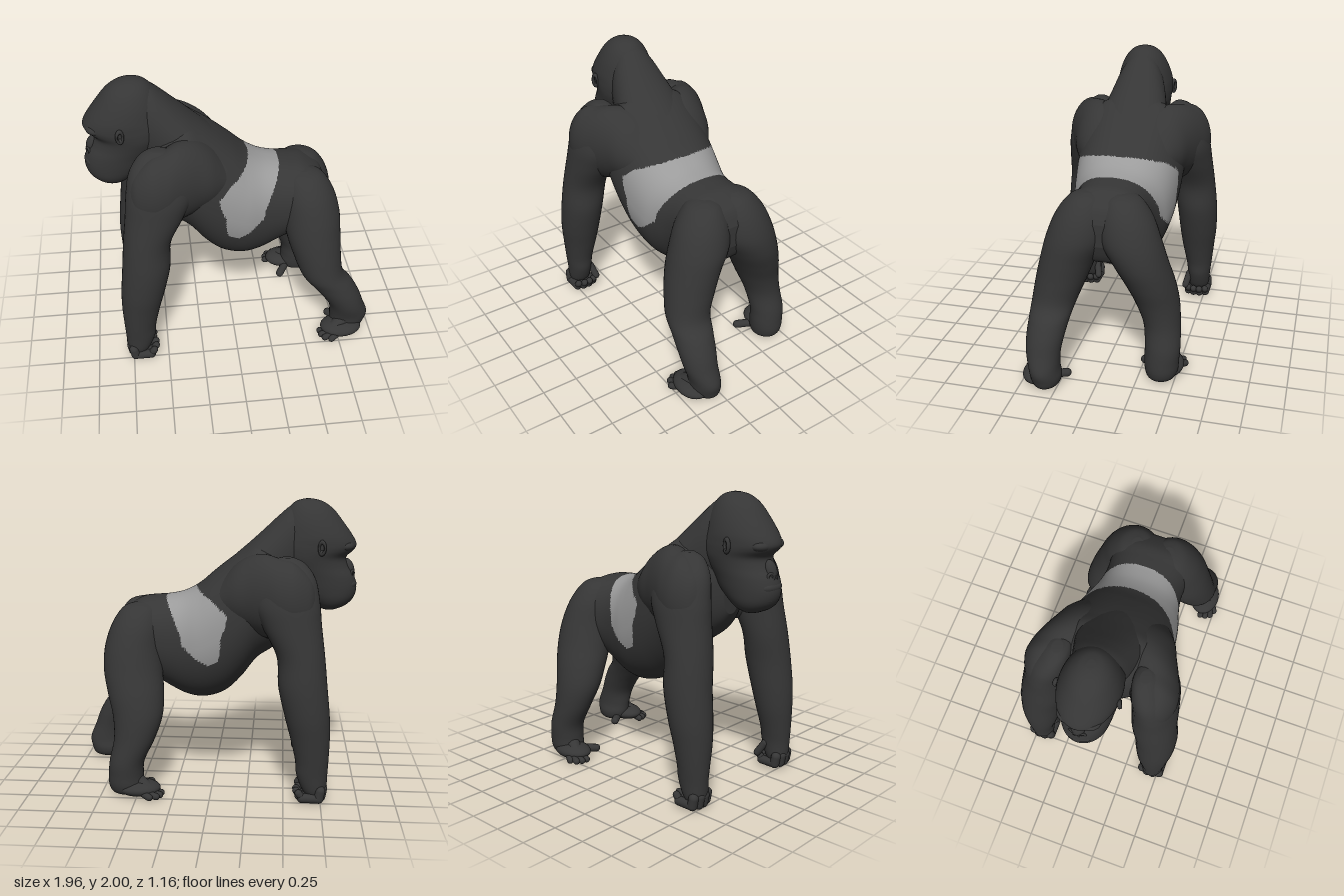
import * as THREE from 'three';

const fur = new THREE.MeshStandardMaterial({ color: 0x363636 });
fur.name = 'dark fur';
const silver = new THREE.MeshStandardMaterial({ color: 0x9b9b9b });
silver.name = 'silver fur';

// Smooth interpolation through rows of numbers, t in 0..1
function sample(rows, t) {
  const f = t * (rows.length - 1), i = Math.min(Math.floor(f), rows.length - 2), u = f - i;
  const p0 = rows[Math.max(i - 1, 0)], p1 = rows[i], p2 = rows[i + 1], p3 = rows[Math.min(i + 2, rows.length - 1)];
  return p1.map((v, k) => v + 0.5 * u * (p2[k] - p0[k]
    + u * (2 * p0[k] - 5 * v + 4 * p2[k] - p3[k] + u * (3 * (v - p2[k]) + p3[k] - p0[k]))));
}

// Skin over oval sections. Axis x (ascending): [x, y0, y1, z0, z1]; axis y (descending): [y, x0, x1, z0, z1].
// Faces for which isSilver(x, y) holds go to a second material group.
function loft(name, axis, rows, { along = 56, around = 40, square = 1, isSilver = null } = {}) {
  const pos = [], parts = [[], []];
  const put = (s, a, b) => (axis === 'x' ? pos.push(s, a, b) : pos.push(a, s, b));
  const shape = (v) => Math.sign(v) * Math.abs(v) ** square;
  for (let i = 0; i <= along; i++) {
    const [s, a0, a1, b0, b1] = sample(rows, i / along);
    for (let j = 0; j < around; j++) {
      const t = (j / around) * Math.PI * 2, c = Math.cos(t);
      const a = c > 0 ? shape(c) : c;
      put(s, (a0 + a1) / 2 + a * (a1 - a0) / 2, (b0 + b1) / 2 + shape(Math.sin(t)) * (b1 - b0) / 2);
    }
  }
  const first = rows[0], last = rows[rows.length - 1];
  for (const r of [first, last]) put(r[0], (r[1] + r[2]) / 2, (r[3] + r[4]) / 2);
  const tri = (...v) => {
    const mid = (k) => (pos[v[0] * 3 + k] + pos[v[1] * 3 + k] + pos[v[2] * 3 + k]) / 3;
    parts[isSilver && isSilver(mid(0), mid(1)) ? 1 : 0].push(...v);
  };
  const pole = (along + 1) * around;
  for (let j = 0; j < around; j++) {
    const k = (j + 1) % around, end = along * around;
    for (let i = 0; i < along; i++) {
      const a = i * around + j, b = i * around + k;
      tri(a, b, a + around);
      tri(b, b + around, a + around);
    }
    tri(pole, k, j);
    tri(pole + 1, end + j, end + k);
  }
  const g = new THREE.BufferGeometry();
  g.setAttribute('position', new THREE.Float32BufferAttribute(pos, 3));
  g.setIndex(parts[0].concat(parts[1]));
  g.addGroup(0, parts[0].length, 0);
  g.addGroup(parts[0].length, parts[1].length, 1);
  g.computeVertexNormals();
  const mesh = new THREE.Mesh(g, isSilver ? [fur, silver] : fur);
  mesh.name = name;
  return mesh;
}

// Rounded rod between two points, for fingers and toes
function rod(name, a, b, r) {
  const p = new THREE.Vector3(...a), q = new THREE.Vector3(...b), d = q.clone().sub(p);
  const mesh = new THREE.Mesh(new THREE.CapsuleGeometry(r, d.length(), 6, 14), fur);
  mesh.position.copy(p).add(q).multiplyScalar(0.5);
  mesh.quaternion.setFromUnitVectors(new THREE.Vector3(0, 1, 0), d.normalize());
  mesh.name = name;
  return mesh;
}

function blob(name, c, r, tilt = 0) {
  const mesh = new THREE.Mesh(new THREE.SphereGeometry(1, 28, 20), fur);
  mesh.position.set(...c);
  mesh.scale.set(...r);
  mesh.rotation.z = tilt;
  mesh.name = name;
  return mesh;
}

// Sections symmetric about z = 0, and sections moved to side s
const even = (rows) => rows.map(([s, a0, a1, w]) => [s, a0, a1, -w, w]);
const side = (rows, s) => rows.map(([y, a, b, z0, z1]) => (s > 0 ? [y, a, b, z0, z1] : [y, a, b, -z1, -z0]));

// Saddle patch: [y, limit towards the head, limit towards the hips]
const saddle = [[0.9, 0.02, 0.02], [0.94, -0.05, 0.1], [1.03, -0.065, 0.2], [1.1, -0.065, 0.215],
  [1.18, -0.1, 0.25], [1.25, -0.11, 0.285], [1.33, -0.02, 0.33], [1.41, 0.13, 0.36]];
function inSaddle(x, y) {
  const i = saddle.findIndex((r) => r[0] > y);
  if (i < 1) return false;
  const [p, q] = [saddle[i - 1], saddle[i]], u = (y - p[0]) / (q[0] - p[0]);
  return x > p[1] + u * (q[1] - p[1]) && x < p[2] + u * (q[2] - p[2]);
}

function makeHead() {
  const head = new THREE.Group();
  head.name = 'head';
  head.add(loft('skull', 'y', even([
    [2.0, -0.67, -0.61, 0.025], [1.98, -0.74, -0.55, 0.08], [1.93, -0.81, -0.5, 0.13], [1.85, -0.875, -0.46, 0.17],
    [1.76, -0.94, -0.43, 0.195], [1.7, -0.97, -0.4, 0.2], [1.66, -0.955, -0.4, 0.2], [1.61, -0.905, -0.42, 0.195],
    [1.55, -0.92, -0.45, 0.185], [1.48, -0.962, -0.5, 0.175], [1.4, -0.98, -0.55, 0.165], [1.33, -0.962, -0.62, 0.15],
    [1.28, -0.915, -0.68, 0.12], [1.25, -0.85, -0.74, 0.07]]), { along: 80, around: 56 }));
  head.add(blob('nose', [-0.92, 1.53, 0], [0.04, 0.07, 0.045], -0.3));
  head.add(blob('upperLip', [-0.92, 1.425, 0], [0.06, 0.045, 0.1]));
  head.add(blob('lowerLip', [-0.917, 1.35, 0], [0.052, 0.034, 0.09]));
  for (const s of [1, -1]) {
    head.add(blob('brow', [-0.882, 1.69, s * 0.06], [0.07, 0.042, 0.085]));
    head.add(blob('eye', [-0.875, 1.625, s * 0.07], [0.016, 0.014, 0.02]));
    const nostril = new THREE.Mesh(new THREE.TorusGeometry(0.022, 0.009, 10, 20), fur);
    nostril.position.set(-0.948, 1.495, s * 0.032);
    nostril.rotation.y = Math.PI / 2 + s * 0.4;
    nostril.name = 'nostril';
    const rim = new THREE.Mesh(new THREE.TorusGeometry(0.028, 0.011, 10, 24), fur);
    rim.position.set(-0.73, 1.69, s * 0.205);
    rim.scale.set(0.75, 1.4, 1.3);
    rim.rotation.y = s * 0.35;
    rim.name = 'earRim';
    head.add(nostril, rim, blob('earLobe', [-0.727, 1.655, s * 0.202], [0.018, 0.02, 0.016]));
  }
  return head;
}

const shoulderRows = [[-0.7, 1.22, 1.42, 0.33, 0.42], [-0.65, 1.12, 1.52, 0.27, 0.485], [-0.55, 1.08, 1.61, 0.2, 0.525],
  [-0.45, 1.08, 1.635, 0.12, 0.515], [-0.35, 1.1, 1.655, 0.06, 0.472], [-0.25, 1.12, 1.635, 0.02, 0.425],
  [-0.15, 1.15, 1.57, 0, 0.382], [-0.05, 1.2, 1.46, 0, 0.31]];

const armRows = [[1.64, -0.54, -0.46, 0.26, 0.33], [1.6, -0.62, -0.36, 0.22, 0.39], [1.5, -0.69, -0.3, 0.21, 0.47],
  [1.35, -0.72, -0.28, 0.22, 0.52], [1.2, -0.735, -0.34, 0.23, 0.54], [1.0, -0.76, -0.44, 0.25, 0.56],
  [0.8, -0.78, -0.455, 0.28, 0.58], [0.6, -0.8, -0.5, 0.3, 0.58], [0.45, -0.805, -0.54, 0.32, 0.565],
  [0.3, -0.8, -0.575, 0.35, 0.55], [0.2, -0.795, -0.585, 0.365, 0.54], [0.1, -0.79, -0.62, 0.37, 0.53],
  [0.04, -0.77, -0.66, 0.39, 0.51]];

function makeArm(s) {
  const arm = new THREE.Group();
  arm.name = s > 0 ? 'nearArm' : 'farArm';
  arm.add(loft('shoulder', 'x', side(shoulderRows, s)));
  arm.add(loft('armAndFist', 'y', side(armRows, s), { along: 72 }));
  for (let i = 0; i < 4; i++) {
    const z = s * (0.383 + i * 0.044), x = i % 3 ? 0 : 0.015;
    arm.add(rod('knuckle', [-0.762 + x, 0.1, z], [-0.752 + x, 0.045, z], 0.034));
    arm.add(rod('finger', [-0.75 + x, 0.045, z], [-0.61 - x, 0.045, z], 0.032));
    arm.add(rod('fingertip', [-0.61 - x, 0.05, z], [-0.587 - x, 0.08, z], 0.025));
  }
  arm.add(rod('thumb', [-0.65, 0.18, s * 0.38], [-0.6, 0.1, s * 0.36], 0.026));
  return arm;
}

// Both legs share the hip sections; the near one steps back, the far one forward
const hipRows = [[1.295, 0.45, 0.54, 0.08, 0.15], [1.26, 0.38, 0.625, 0.01, 0.24], [1.15, 0.35, 0.7, -0.03, 0.325],
  [1.0, 0.35, 0.745, -0.02, 0.385]];
const legRows = {
  back: [[0.85, 0.37, 0.752, 0.05, 0.425], [0.7, 0.415, 0.757, 0.11, 0.455], [0.55, 0.475, 0.775, 0.17, 0.475],
    [0.45, 0.55, 0.85, 0.2, 0.475], [0.35, 0.63, 0.905, 0.22, 0.475], [0.25, 0.69, 0.942, 0.235, 0.465],
    [0.15, 0.705, 0.98, 0.235, 0.44], [0.08, 0.71, 0.97, 0.225, 0.43], [0.03, 0.73, 0.95, 0.24, 0.41],
    [0.008, 0.78, 0.9, 0.28, 0.37]],
  forward: [[0.85, 0.34, 0.745, 0.06, 0.43], [0.7, 0.325, 0.71, 0.14, 0.475], [0.55, 0.33, 0.67, 0.21, 0.505],
    [0.4, 0.38, 0.66, 0.27, 0.52], [0.25, 0.45, 0.69, 0.29, 0.53], [0.15, 0.46, 0.7, 0.29, 0.525],
    [0.08, 0.455, 0.7, 0.295, 0.52], [0.03, 0.47, 0.68, 0.31, 0.5], [0.008, 0.52, 0.63, 0.35, 0.46]],
};

function makeLeg(s, pose, ankleX, ankleZ) {
  const leg = new THREE.Group();
  leg.name = s > 0 ? 'nearLeg' : 'farLeg';
  leg.add(loft('legAndHeel', 'y', side(hipRows.concat(legRows[pose]), s), { along: 84 }));
  leg.add(blob('foot', [ankleX - 0.08, 0.058, s * (ankleZ + 0.015)], [0.15, 0.056, 0.11]));
  leg.add(rod('instep', [ankleX - 0.05, 0.12, s * ankleZ], [ankleX - 0.14, 0.058, s * (ankleZ + 0.04)], 0.05));
  const tips = [[-0.165, 0.12], [-0.21, 0.1], [-0.23, 0.065], [-0.235, 0.025]];
  for (const [dx, dz] of tips) {
    leg.add(rod('toe', [ankleX - 0.09, 0.05, s * (ankleZ + 0.02 + dz * 0.45)],
      [ankleX + dx, 0.026, s * (ankleZ + dz)], 0.024));
  }
  leg.add(rod('bigToe', [ankleX - 0.06, 0.05, s * (ankleZ - 0.03)], [ankleX - 0.14, 0.031, s * (ankleZ - 0.16)], 0.029));
  return leg;
}

export function createModel() {
  const model = new THREE.Group();
  model.name = 'gorilla';
  model.add(loft('torso', 'x', even([
    [-0.62, 1.2, 1.48, 0.08], [-0.57, 1.12, 1.57, 0.19], [-0.5, 1.04, 1.64, 0.28], [-0.4, 0.97, 1.69, 0.35],
    [-0.3, 0.9, 1.705, 0.38], [-0.2, 0.77, 1.65, 0.38], [-0.1, 0.67, 1.58, 0.37], [0, 0.622, 1.5, 0.355],
    [0.1, 0.61, 1.415, 0.335], [0.2, 0.63, 1.36, 0.305], [0.3, 0.68, 1.335, 0.285], [0.4, 0.74, 1.325, 0.285],
    [0.5, 0.79, 1.31, 0.305], [0.6, 0.84, 1.255, 0.305], [0.64, 0.89, 1.21, 0.265], [0.672, 0.98, 1.13, 0.15]]),
  { along: 150, around: 144, square: 0.85, isSilver: inSaddle }));
  model.add(loft('neck', 'x', even([
    [-0.68, 1.4, 1.96, 0.1], [-0.6, 1.36, 1.985, 0.15], [-0.52, 1.32, 1.952, 0.185], [-0.44, 1.28, 1.885, 0.21],
    [-0.35, 1.24, 1.8, 0.235], [-0.25, 1.2, 1.708, 0.25], [-0.1, 1.15, 1.575, 0.22], [0.0, 1.15, 1.46, 0.15]])));
  model.add(makeHead());
  for (const s of [1, -1]) model.add(makeArm(s));
  model.add(makeLeg(1, 'back', 0.86, 0.38), makeLeg(-1, 'forward', 0.57, 0.42));
  return model;
}
